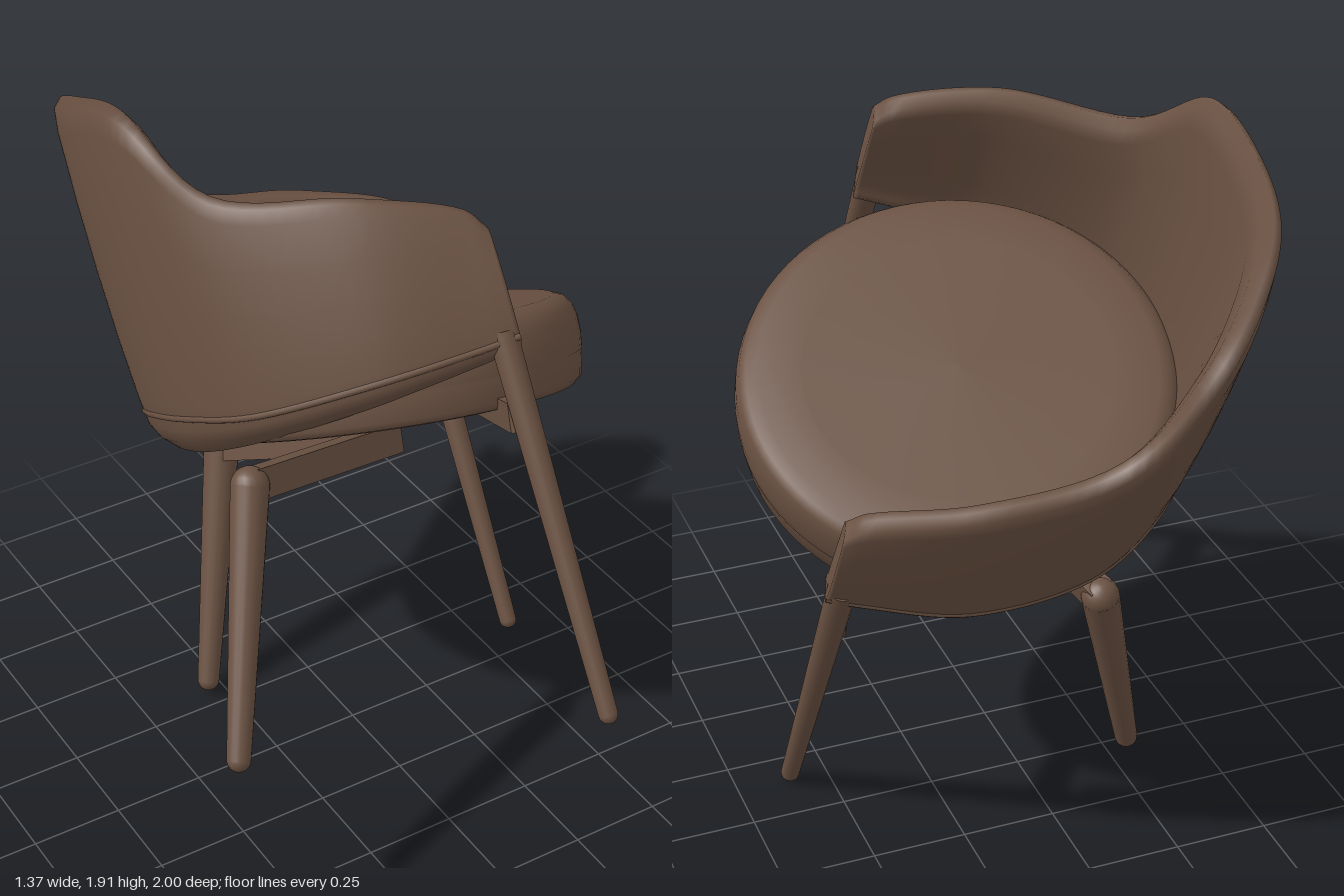
import * as THREE from 'three';

const V = (x, y, z) => new THREE.Vector3(x, y, z);
const brown = new THREE.MeshStandardMaterial({ color: 0x6a5142, side: THREE.DoubleSide });
brown.name = 'brown';

function part(geometry, name, parent) {
  const mesh = new THREE.Mesh(geometry, brown);
  mesh.name = name;
  parent.add(mesh);
  return mesh;
}

// Tapered round rod between two points
function rod(a, b, ra, rb, name, parent) {
  const dir = b.clone().sub(a);
  const mesh = part(new THREE.CylinderGeometry(rb, ra, dir.length(), 20), name, parent);
  mesh.position.copy(a).add(b).multiplyScalar(0.5);
  mesh.quaternion.setFromUnitVectors(V(0, 1, 0), dir.normalize());
}

function ball(p, r, name, parent) {
  part(new THREE.SphereGeometry(r, 20, 12), name, parent).position.copy(p);
}

// Flat rail whose height stays vertical
function rail(a, b, width, height, name, parent) {
  const mesh = part(new THREE.BoxGeometry(width, height, a.distanceTo(b)), name, parent);
  mesh.position.copy(a).add(b).multiplyScalar(0.5);
  mesh.lookAt(b);
}

// Smooth curve through half stations mirrored over x
function mirroredCurve(half) {
  const right = half.map(([x, y, z]) => V(-x, y, z));
  const left = half.slice(0, -1).reverse().map(([x, y, z]) => V(x, y, z));
  return new THREE.CatmullRomCurve3([...right, ...left]);
}

const baseCurve = mirroredCurve([
  [0.668, 0.94, 0.365], [0.668, 0.915, 0.27], [0.65, 0.86, 0.01], [0.495, 0.8, -0.295],
  [0.3, 0.78, -0.455], [0.15, 0.78, -0.515], [0, 0.78, -0.535],
]);
const topCurve = mirroredCurve([
  [0.66, 1.24, 0.32], [0.662, 1.285, 0.27], [0.658, 1.35, 0], [0.55, 1.4, -0.34],
  [0.425, 1.635, -0.53], [0.21, 1.685, -0.63], [0, 1.695, -0.67],
]);

// Wall point: v = height fraction, inset = distance towards the seat
function wallPoint(t, v, inset) {
  const p = baseCurve.getPoint(t).lerp(topCurve.getPoint(t), v);
  const tan = baseCurve.getTangent(t).lerp(topCurve.getTangent(t), v);
  const inward = V(-tan.z, 0, tan.x).normalize();
  return p.addScaledVector(inward, inset);
}

function shellGeometry() {
  // Closed wall section as [height fraction, inset], tucked under at the bottom
  const section = [
    [-0.035, 0.06], [0, 0.025], [0.04, 0.007], [0.12, 0], [0.3, -0.006], [0.5, -0.008], [0.7, -0.006], [0.9, 0], [0.97, 0.009],
    [1, 0.034], [0.97, 0.062], [0.9, 0.074], [0.7, 0.074], [0.5, 0.074], [0.3, 0.074], [0.1, 0.074], [0.03, 0.085], [-0.03, 0.09],
  ];
  const n = section.length, steps = 96, pos = [], idx = [];
  for (let i = 0; i <= steps; i++)
    for (const [v, d] of section) pos.push(...wallPoint(i / steps, v, d).toArray());
  for (let i = 0; i < steps; i++)
    for (let j = 0; j < n; j++) {
      const a = i * n + j, b = i * n + (j + 1) % n;
      idx.push(a, b, a + n, b, b + n, a + n);
    }
  // Arm end caps
  const e = steps * n;
  for (let j = 0; j < n / 2 - 1; j++) {
    const a = j, b = j + 1, c = n - 1 - j, d = n - 2 - j;
    idx.push(a, c, b, b, c, d, e + a, e + b, e + c, e + b, e + d, e + c);
  }
  const g = new THREE.BufferGeometry();
  g.setAttribute('position', new THREE.Float32BufferAttribute(pos, 3));
  g.setIndex(idx);
  g.computeVertexNormals();
  return g;
}

export function createModel() {
  const model = new THREE.Group();
  model.name = 'armchair';
  const chair = new THREE.Group();
  chair.name = 'tiltedChair';
  model.add(chair);

  // Round seat: lower pan, thin seam and cushion with a rounded rim
  const profile = [
    [0, 0.765], [0.5, 0.765], [0.54, 0.772], [0.558, 0.79], [0.567, 0.85], [0.563, 0.855], [0.568, 0.86],
    [0.57, 0.9], [0.566, 0.945], [0.557, 0.975], [0.54, 0.997], [0.51, 1.008], [0.4, 1.013], [0, 1.015],
  ].map(([x, y]) => new THREE.Vector2(x, y));
  part(new THREE.LatheGeometry(profile, 72), 'seat', chair).position.z = 0.065;

  // Wraparound back with arms and its lower hem
  part(shellGeometry(), 'backShell', chair);
  const hem = [];
  for (let i = 0; i <= 48; i++) hem.push(wallPoint(i / 48, 0.08, 0.008));
  part(new THREE.TubeGeometry(new THREE.CatmullRomCurve3(hem), 96, 0.01, 8), 'hem', chair);

  // Legs, mirrored
  const hub = V(0, 0.68, 0.1);
  for (const s of [-1, 1]) {
    const side = s > 0 ? 'left' : 'right';
    const foot = V(s * 0.67, 0.005, 0.455), top = V(s * 0.637, 0.98, 0.323);
    rod(foot, top, 0.025, 0.037, side + 'FrontLeg', chair);
    ball(foot, 0.025, side + 'FrontFoot', chair);

    const backFoot = V(s * 0.51, 0.005, -0.455), bend = V(s * 0.45, 0.675, -0.325);
    rod(backFoot, bend, 0.031, 0.05, side + 'BackLeg', chair);
    ball(backFoot, 0.031, side + 'BackFoot', chair);
    ball(bend, 0.05, side + 'BackLegBend', chair);
    rail(bend, hub, 0.07, 0.078, side + 'BackRail', chair);
  }

  // Front crossbar under the seat
  rail(V(-0.635, 0.765, 0.335), V(0.635, 0.765, 0.335), 0.045, 0.075, 'frontRail', chair);

  // Tipped pose
  const forward = V(0.93, 0.06, 0.363).normalize();
  const up = forward.clone().cross(V(0.344, -0.479, -0.808)).normalize();
  const sideways = up.clone().cross(forward);
  chair.quaternion.setFromRotationMatrix(new THREE.Matrix4().makeBasis(sideways, up, forward));
  chair.position.set(-0.0525, 0.3125, 0.275);
  return model;
}
